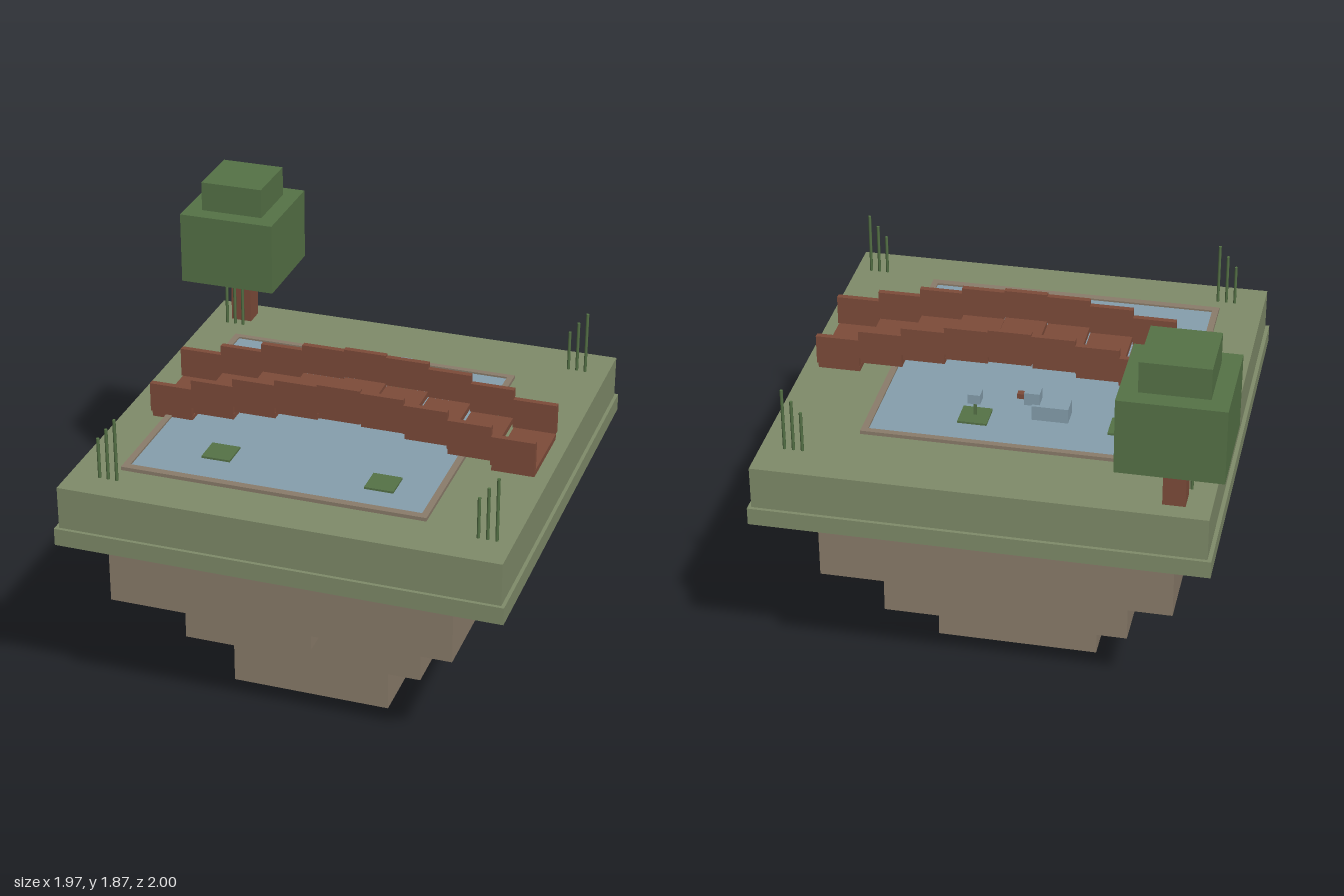
import * as THREE from 'three';

const material = (name, color) => {
  const m = new THREE.MeshStandardMaterial({ color });
  m.name = name;
  return m;
};

export function createModel() {
  const grass = material('grass green', 0x808c6a);
  const leaf = material('leaf green', 0x567347);
  const water = material('pale blue', 0x86a0ae);
  const wood = material('red brown wood', 0x7e4c3a);
  const dirt = material('earth brown', 0x8b7d6b);

  const model = new THREE.Group();
  model.name = 'floatingPondIsland';

  const group = (name) => {
    const g = new THREE.Group();
    g.name = name;
    model.add(g);
    return g;
  };

  // Box given by its limits on each axis
  const box = (parent, name, mat, [x0, x1], [y0, y1], [z0, z1]) => {
    const mesh = new THREE.Mesh(new THREE.BoxGeometry(x1 - x0, y1 - y0, z1 - z0), mat);
    mesh.position.set((x0 + x1) / 2, (y0 + y1) / 2, (z0 + z1) / 2);
    mesh.name = name;
    parent.add(mesh);
  };
  const around = (c, size) => [c - size / 2, c + size / 2];

  // Stepped island
  const island = group('island');
  box(island, 'grassTop', grass, [-0.92, 0.965], [0.98, 1.168], [-0.905, 0.985]);
  box(island, 'grassLip', grass, [-0.937, 0.98], [0.903, 0.98], [-0.92, 1]);
  box(island, 'upperEarth', dirt, [-0.77, 0.73], [0.577, 0.903], [-0.76, 0.84]);
  box(island, 'middleEarth', dirt, [-0.55, 0.514], [0.27, 0.577], [-0.547, 0.566]);
  box(island, 'lowerEarth', dirt, [-0.38, 0.33], [0, 0.27], [-0.32, 0.433]);
  box(island, 'earthLump', dirt, [-0.115, 0.092], [0.45, 0.6], [0.54, 0.75]);

  // Pond with a raised rim
  const pond = group('pond');
  box(pond, 'water', water, [-0.702, 0.56], [1.168, 1.176], [-0.533, 0.73]);
  for (const [z0, z1] of [[-0.56, -0.533], [0.73, 0.763]]) {
    box(pond, 'rimEnd', dirt, [-0.73, 0.588], [1.16, 1.184], [z0, z1]);
  }
  for (const [x0, x1] of [[-0.73, -0.702], [0.56, 0.588]]) {
    box(pond, 'rimSide', dirt, [x0, x1], [1.16, 1.184], [-0.533, 0.73]);
  }

  // Lily pads and one flower
  const lilies = group('lilies');
  for (const [x, z] of [[-0.482, -0.313], [0.148, -0.345], [-0.386, 0.51], [0.336, 0.542]]) {
    box(lilies, 'lilyPad', leaf, around(x, 0.125), [1.176, 1.185], around(z, 0.125));
  }
  box(lilies, 'flowerStem', leaf, around(0.148, 0.013), [1.18, 1.25], around(-0.338, 0.013));
  box(lilies, 'flower', water, around(0.148, 0.054), [1.25, 1.293], around(-0.338, 0.056));

  // Duck
  const duck = group('duck');
  box(duck, 'body', water, [-0.244, -0.088], [1.176, 1.242], [-0.322, -0.234]);
  box(duck, 'head', water, [-0.12, -0.054], [1.236, 1.293], [-0.308, -0.25]);
  box(duck, 'beak', wood, [-0.056, -0.022], [1.255, 1.278], [-0.295, -0.265]);

  // Arched bridge: planks with a panel on either side
  const bridge = group('bridge');
  for (let i = 0; i < 9; i++) {
    const x = -0.699 + i * 0.1885;
    const rise = 0.115 * Math.sin((Math.PI * i) / 8);
    box(bridge, 'plank', wood, around(x, 0.184), [1.168 + rise, 1.193 + rise], [-0.072, 0.275]);
    for (const z of [-0.074, 0.275]) {
      box(bridge, 'sidePanel', wood, around(x, 0.1885), [1.199 + rise, 1.33 + rise], around(z, 0.026));
    }
  }

  // Tree
  const tree = group('tree');
  box(tree, 'trunk', wood, around(-0.767, 0.094), [1.168, 1.41], around(-0.78, 0.094));
  box(tree, 'crown', leaf, around(-0.767, 0.436), [1.41, 1.736], around(-0.781, 0.438));
  box(tree, 'crownTop', leaf, around(-0.767, 0.284), [1.736, 1.87], around(-0.781, 0.284));

  // Reeds: three growing taller towards +x in each clump
  const reeds = group('reeds');
  for (const [x, z] of [[0.788, -0.73], [0.819, 0.818], [-0.788, 0.848], [-0.82, -0.692]]) {
    for (let i = 0; i < 3; i++) {
      const height = 0.182 + i * 0.049;
      const reed = new THREE.Mesh(new THREE.CylinderGeometry(0.007, 0.007, height, 6), leaf);
      reed.position.set(x + i * 0.038, 1.168 + height / 2, z);
      reed.name = 'reed';
      reeds.add(reed);
    }
  }

  return model;
}
